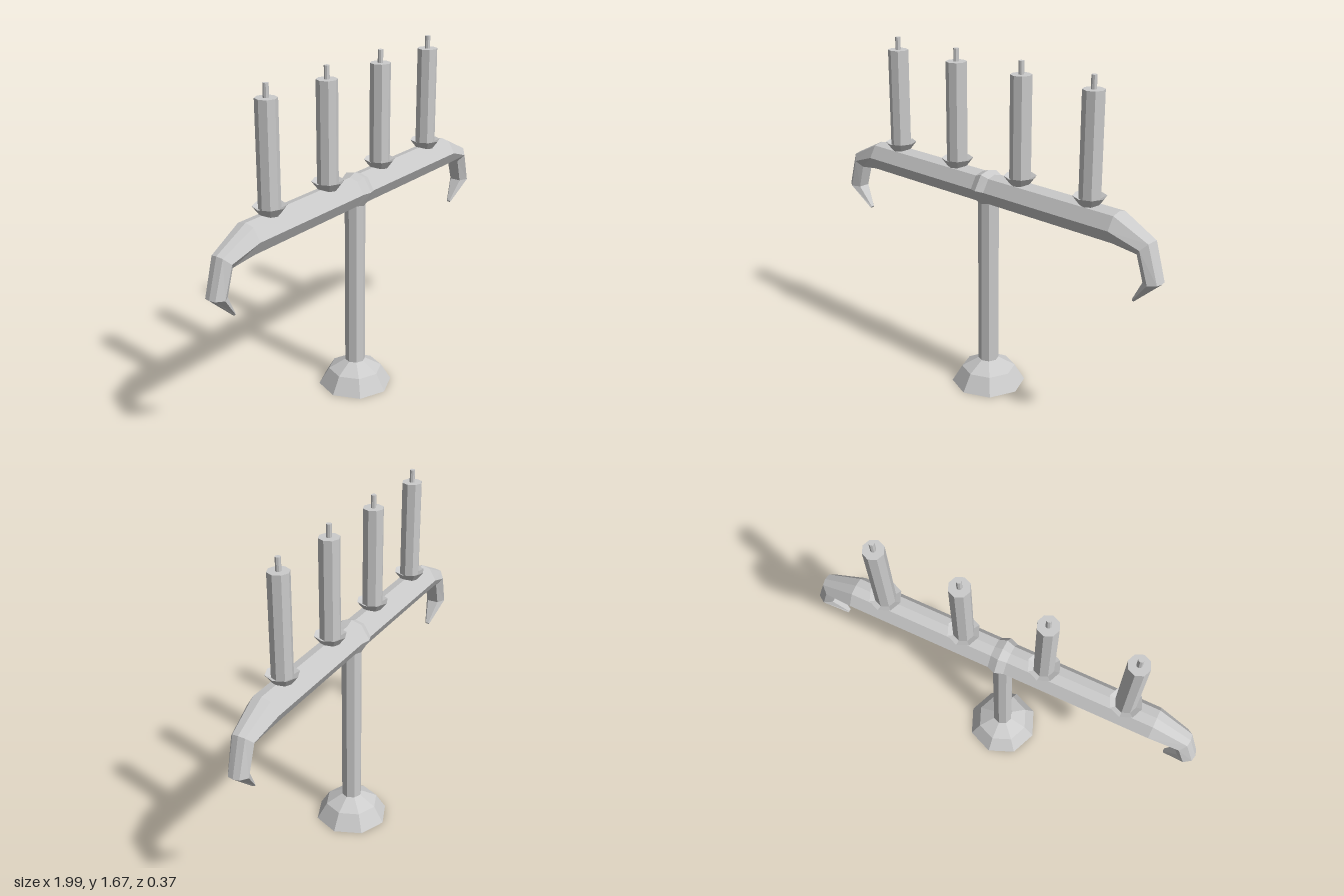
import * as THREE from 'three';

const material = new THREE.MeshStandardMaterial({ color: 0xcccccc, flatShading: true });

function addMesh(parent, geometry, name) {
  const mesh = new THREE.Mesh(geometry, material);
  mesh.name = name;
  parent.add(mesh);
  return mesh;
}

// Eight-sided turned part from [radius, height] pairs, bottom to top
function turned(profile) {
  return new THREE.LatheGeometry(profile.map(([r, y]) => new THREE.Vector2(r, y)), 8);
}

// Faceted crossbar: each station has an outer point, an inner point and a half width
function crossbarGeometry() {
  const half = [
    [0.04, 1.11, 0.04, 0.975, 0.08],
    [0.76, 1.11, 0.76, 0.975, 0.08],
    [0.94, 1.02, 0.88, 0.955, 0.057],
    [0.995, 0.84, 0.915, 0.835, 0.052],
    [0.86, 0.72, 0.852, 0.73, 0.012],
  ];
  const mirrored = half.map(([ox, oy, ix, iy, w]) => [-ox, oy, -ix, iy, w]).reverse();
  const stations = [...mirrored, [0, 1.125, 0, 0.968, 0.095], ...half];

  // Cross-section: share of the way from inner to outer point, share of half width
  const section = [[1, 0], [0.92, 0.55], [0.48, 1], [0, 0.55], [0, -0.55], [0.48, -1], [0.92, -0.55]];
  const n = section.length;
  const positions = [];
  const index = [];
  for (const [ox, oy, ix, iy, w] of stations) {
    for (const [t, s] of section) {
      positions.push(ix + (ox - ix) * t, iy + (oy - iy) * t, w * s);
    }
  }
  for (let i = 0; i < stations.length - 1; i++) {
    for (let j = 0; j < n; j++) {
      const a = i * n + j;
      const c = i * n + ((j + 1) % n);
      index.push(a, c, a + n, c, c + n, a + n);
    }
  }
  // Close both hook tips
  const last = (stations.length - 1) * n;
  for (let j = 1; j < n - 1; j++) {
    index.push(0, j + 1, j, last, last + j, last + j + 1);
  }
  const geometry = new THREE.BufferGeometry();
  geometry.setAttribute('position', new THREE.Float32BufferAttribute(positions, 3));
  geometry.setIndex(index);
  geometry.computeVertexNormals();
  return geometry;
}

function createCandle(x) {
  const candle = new THREE.Group();
  candle.name = 'candle';
  candle.position.set(x, 1.1, 0);
  // Drip cup with a raised lip
  addMesh(candle, turned([[0, 0], [0.045, 0], [0.077, 0.042], [0.048, 0.028], [0, 0.028]]), 'dripCup');
  // Wax and wick
  addMesh(candle, turned([[0, 0.02], [0.05, 0.02], [0.05, 0.513], [0, 0.513]]), 'wax');
  addMesh(candle, turned([[0, 0.5], [0.013, 0.5], [0.013, 0.575], [0, 0.575]]), 'wick');
  return candle;
}

export function createModel() {
  const model = new THREE.Group();
  model.name = 'candelabra';

  // Stepped foot and straight stem
  addMesh(model, turned([[0, 0], [0.183, 0], [0.133, 0.083], [0.05, 0.13], [0, 0.13]]), 'foot');
  addMesh(model, turned([[0, 0.1], [0.05, 0.1], [0.05, 1.0], [0, 1.0]]), 'stem');

  // Crossbar with hooked ends
  addMesh(model, crossbarGeometry(), 'crossbar');

  for (const x of [-0.607, -0.206, 0.198, 0.6]) model.add(createCandle(x));
  return model;
}
